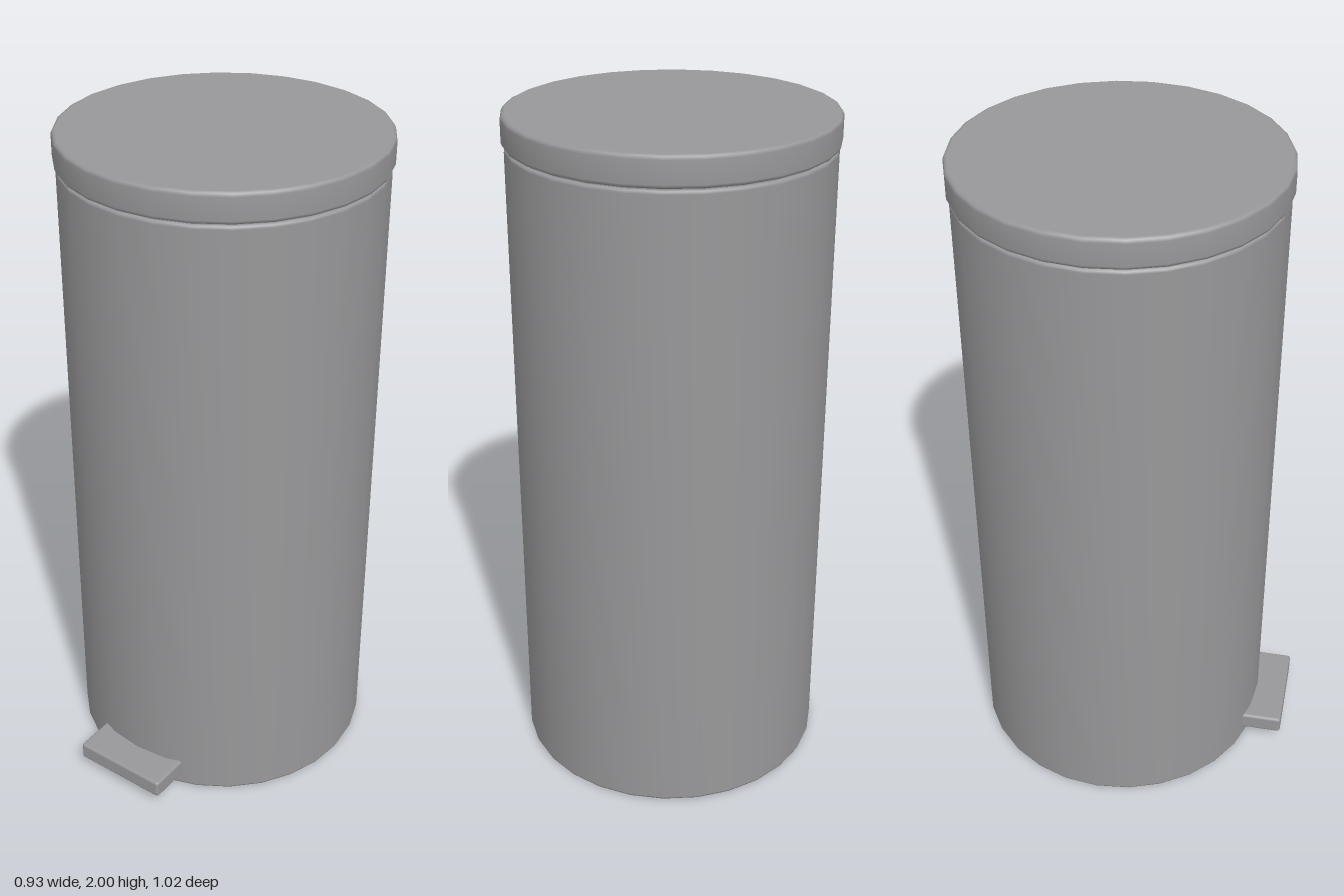
import * as THREE from 'three';
import { mergeVertices } from 'three/addons/utils/BufferGeometryUtils.js';
import { RoundedBoxGeometry } from 'three/addons/geometries/RoundedBoxGeometry.js';

const SIDES = 28;
const CENTER_Z = -0.045;

// Closed disc or drum with softly bevelled rims and area-weighted smooth normals
function bevelledDrum(radius, bottom, top, bevel) {
  const b = bevel, k = bevel * 0.3;
  const profile = [
    [0, bottom], [radius - b, bottom], [radius - k, bottom + k], [radius, bottom + b],
    [radius, top - b], [radius - k, top - k], [radius - b, top], [0, top],
  ].map(([x, y]) => new THREE.Vector2(x, y));
  let geometry = new THREE.LatheGeometry(profile, SIDES);
  geometry.deleteAttribute('normal');
  geometry.deleteAttribute('uv');
  geometry = mergeVertices(geometry, 1e-5);
  geometry.computeVertexNormals();
  return geometry;
}

export function createModel() {
  const group = new THREE.Group();
  group.name = 'pedalBin';

  const metal = new THREE.MeshStandardMaterial({ color: 0x98989a });
  metal.name = 'grey metal';

  const add = (name, geometry, x, y, z) => {
    const mesh = new THREE.Mesh(geometry, metal);
    mesh.name = name;
    mesh.position.set(x, y, z);
    group.add(mesh);
  };

  // Tall drum, narrow seam and overhanging lid
  add('body', bevelledDrum(0.458, 0, 1.909, 0.01), 0, 0, CENTER_Z);
  add('lidSeam', new THREE.CylinderGeometry(0.448, 0.448, 0.02, SIDES), 0, 1.911, CENTER_Z);
  add('lid', bevelledDrum(0.465, 1.913, 2, 0.012), 0, 0, CENTER_Z);

  // Foot pedal, its back end tucked into the drum
  add('pedal', new RoundedBoxGeometry(0.304, 0.056, 0.147, 2, 0.009), 0, 0.066, 0.4335);

  return group;
}
